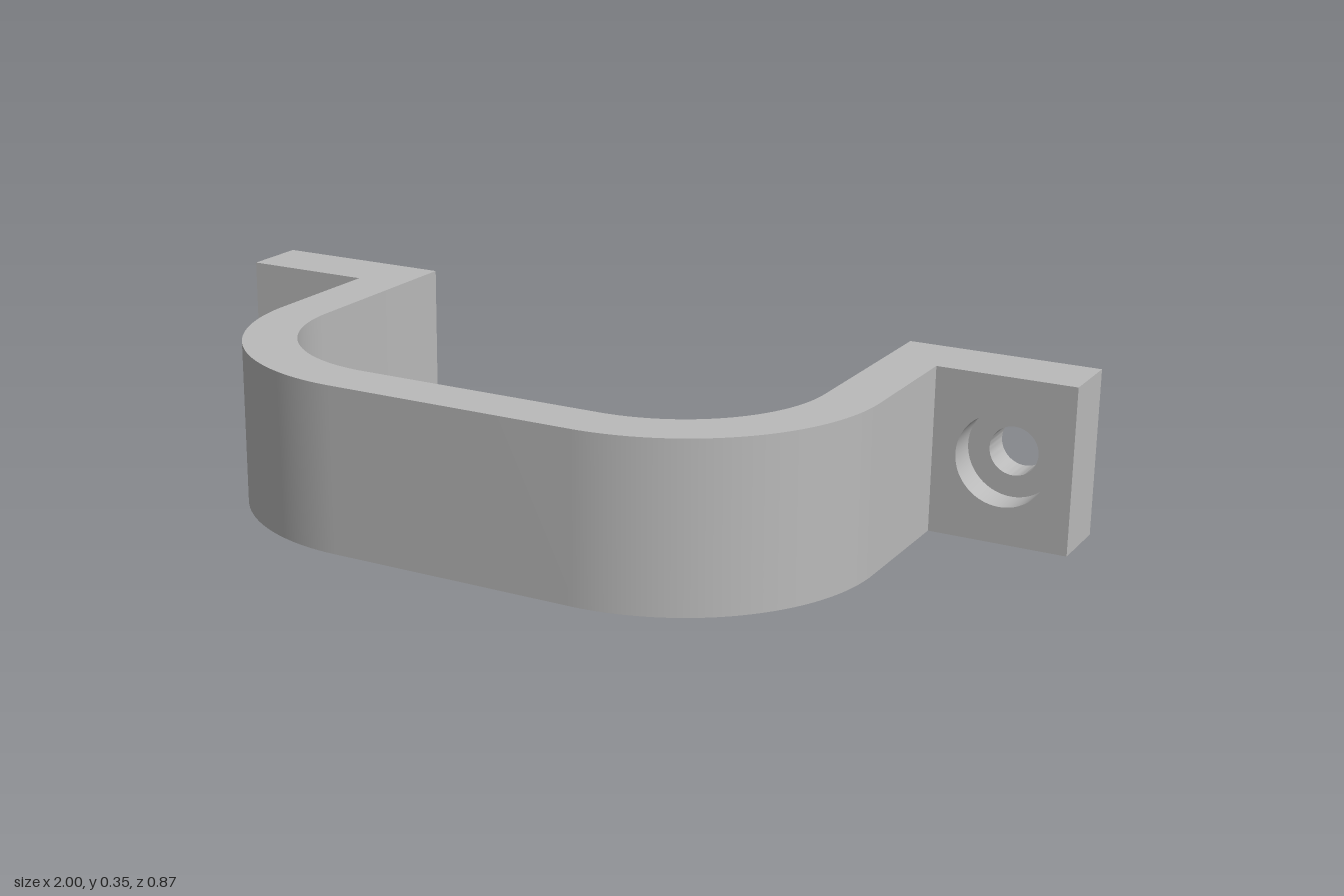
import * as THREE from 'three';
import { toCreasedNormals } from 'three/addons/utils/BufferGeometryUtils.js';

const HEIGHT = 0.353;
const OUTER = 0.705, INNER = 0.59;    // half widths of the strap
const CORNER_X = 0.27;                // centre of the rounded corners (z = 0)
const BACK = -0.435, EAR_FRONT = -0.29;
const HOLE_X = 0.853, HOLE_R = 0.052, BORE_R = 0.098, BORE_DEPTH = 0.072;

function extrude(shape, depth) {
  const geometry = new THREE.ExtrudeGeometry(shape, { depth, bevelEnabled: false, curveSegments: 28 });
  return toCreasedNormals(geometry, 0.5);
}

// U-shaped band, drawn in plan with shape y = -z
function strapGeometry() {
  const ro = OUTER - CORNER_X, ri = INNER - CORNER_X;
  const s = new THREE.Shape();
  s.moveTo(-OUTER, -EAR_FRONT);
  s.lineTo(-OUTER, 0);
  s.absarc(-CORNER_X, 0, ro, Math.PI, Math.PI * 1.5, false);
  s.absarc(CORNER_X, 0, ro, Math.PI * 1.5, Math.PI * 2, false);
  s.lineTo(OUTER, -EAR_FRONT);
  s.lineTo(INNER, -EAR_FRONT);
  s.lineTo(INNER, 0);
  s.absarc(CORNER_X, 0, ri, 0, -Math.PI / 2, true);
  s.absarc(-CORNER_X, 0, ri, -Math.PI / 2, -Math.PI, true);
  s.lineTo(-INNER, -EAR_FRONT);
  s.closePath();
  return extrude(s, HEIGHT).rotateX(-Math.PI / 2);
}

// One layer of a mounting ear, with a round hole through it
function earLayer(side, radius, z0, z1) {
  const a = Math.min(side * INNER, side), b = Math.max(side * INNER, side);
  const s = new THREE.Shape();
  s.moveTo(a, 0);
  s.lineTo(b, 0);
  s.lineTo(b, HEIGHT);
  s.lineTo(a, HEIGHT);
  s.closePath();
  const hole = new THREE.Path();
  hole.absarc(side * HOLE_X, HEIGHT / 2, radius, 0, Math.PI * 2, true);
  s.holes.push(hole);
  return extrude(s, z1 - z0).translate(0, 0, z0);
}

export function createModel() {
  const grey = new THREE.MeshStandardMaterial({ color: 0xbababa });
  grey.name = 'grey metal';
  const model = new THREE.Group();
  model.name = 'strapBracket';

  const add = (parent, name, geometry) => {
    const mesh = new THREE.Mesh(geometry, grey);
    mesh.name = name;
    parent.add(mesh);
  };

  add(model, 'strap', strapGeometry());

  // Mounting ears: screw hole at the back, wider counterbore at the front
  for (const side of [-1, 1]) {
    const ear = new THREE.Group();
    ear.name = side > 0 ? 'leftEar' : 'rightEar';
    const step = EAR_FRONT - BORE_DEPTH;
    add(ear, 'screwHolePlate', earLayer(side, HOLE_R, BACK, step));
    add(ear, 'counterborePlate', earLayer(side, BORE_R, step, EAR_FRONT));
    model.add(ear);
  }
  return model;
}
